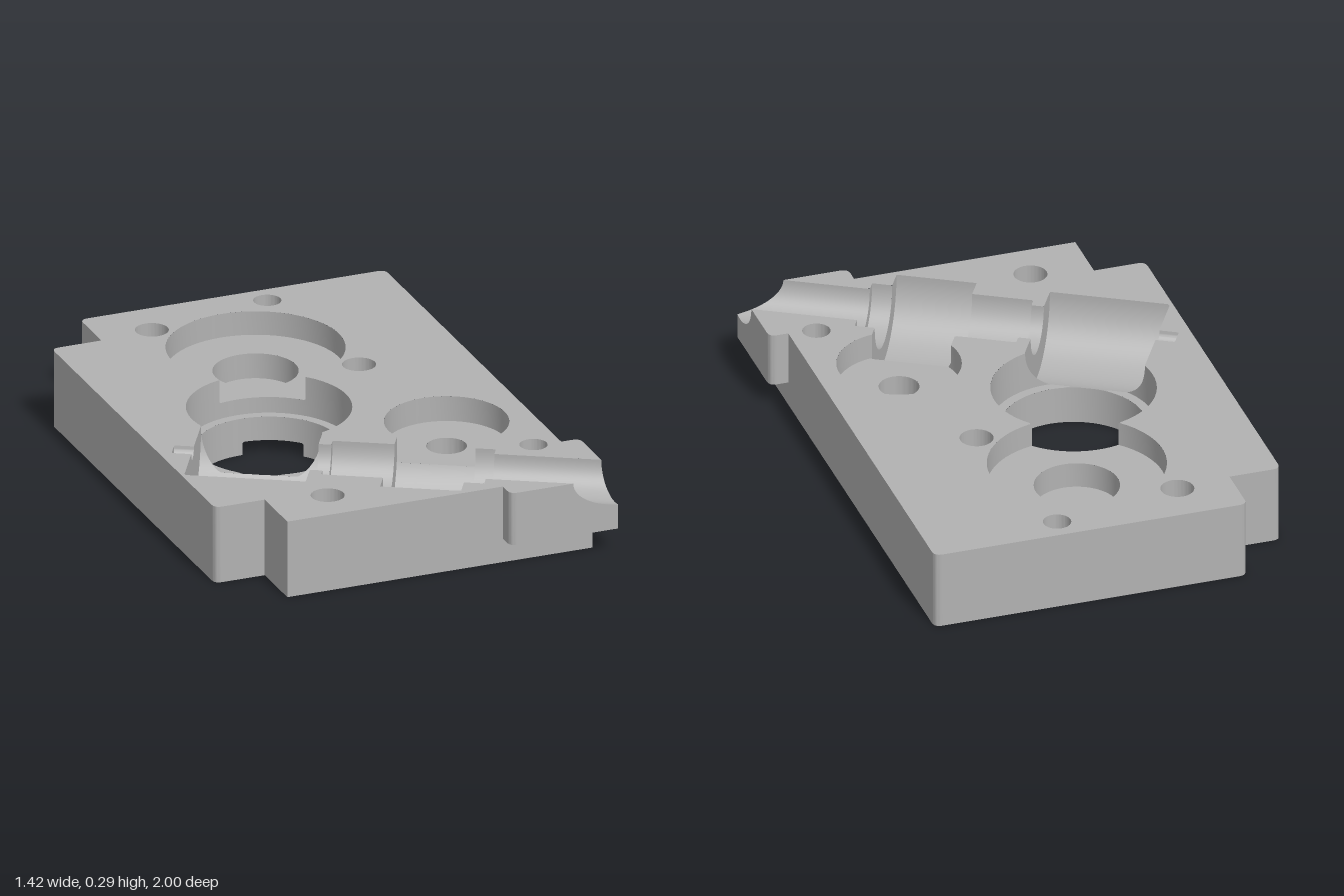
import * as THREE from 'three';
import { toCreasedNormals } from 'three/addons/utils/BufferGeometryUtils.js';

const TOP = 0.29;
const metal = new THREE.MeshStandardMaterial({ color: 0xb2b2b2 });
metal.name = 'plain grey metal';

// Keeps the part of a surface where f(point) > 0; f is a signed distance.
// Triangles are halved near the border, then cut along it.
function carve(source, f, flip = false) {
  const geo = source.index ? source.toNonIndexed() : source;
  const P = geo.attributes.position, N = geo.attributes.normal;
  const pos = [], nor = [];
  const vert = (p, n) => ({ p, n, d: f(p) });
  const mix = (a, b, t) => vert(a.p.clone().lerp(b.p, t), a.n.clone().lerp(b.n, t));
  const emit = (tri) => {
    for (const v of flip ? [tri[0], tri[2], tri[1]] : tri) {
      const n = v.n.clone().normalize().multiplyScalar(flip ? -1 : 1);
      pos.push(v.p.x, v.p.y, v.p.z);
      nor.push(n.x, n.y, n.z);
    }
  };
  const visit = (tri) => {
    let long = 0, k = 0;
    for (let i = 0; i < 3; i++) {
      const len = tri[i].p.distanceTo(tri[(i + 1) % 3].p);
      if (len > long) { long = len; k = i; }
    }
    if (tri.some((v) => v.d > long)) return emit(tri);
    if (tri.some((v) => v.d < -long)) return;
    if (long > 0.014) {
      const a = tri[k], b = tri[(k + 1) % 3], c = tri[(k + 2) % 3], m = mix(a, b, 0.5);
      visit([a, m, c]);
      visit([m, b, c]);
      return;
    }
    const poly = [];
    for (let i = 0; i < 3; i++) {
      const a = tri[i], b = tri[(i + 1) % 3];
      if (a.d >= 0) poly.push(a);
      if ((a.d >= 0) !== (b.d >= 0)) poly.push(mix(a, b, a.d / (a.d - b.d)));
    }
    for (let i = 2; i < poly.length; i++) emit([poly[0], poly[i - 1], poly[i]]);
  };
  for (let i = 0; i < P.count; i += 3) {
    visit([0, 1, 2].map((j) => vert(
      new THREE.Vector3().fromBufferAttribute(P, i + j),
      new THREE.Vector3().fromBufferAttribute(N, i + j))));
  }
  const out = new THREE.BufferGeometry();
  out.setAttribute('position', new THREE.Float32BufferAttribute(pos, 3));
  out.setAttribute('normal', new THREE.Float32BufferAttribute(nor, 3));
  return out;
}

// Upright prism from [x, z, cornerRadius] points
function prism(points, y0, y1) {
  const shape = new THREE.Shape();
  const pts = points.map(([x, z]) => new THREE.Vector2(x, -z));
  pts.forEach((p, i) => {
    const r = points[i][2] || 0;
    const toward = (q) => p.clone().add(q.clone().sub(p).setLength(r));
    const a = toward(pts[(i + pts.length - 1) % pts.length]);
    const b = toward(pts[(i + 1) % pts.length]);
    if (i === 0) shape.moveTo(a.x, a.y); else shape.lineTo(a.x, a.y);
    if (r) shape.quadraticCurveTo(p.x, p.y, b.x, b.y);
  });
  const geo = new THREE.ExtrudeGeometry(shape, { depth: y1 - y0, bevelEnabled: false, curveSegments: 8 });
  geo.rotateX(-Math.PI / 2).translate(0, y0, 0);
  return toCreasedNormals(geo, 0.6);
}

const box = (p, x0, x1, y0, y1, z0, z1) =>
  Math.max(x0 - p.x, p.x - x1, y0 - p.y, p.y - y1, z0 - p.z, p.z - z1);

// Inward-facing surface of revolution
const bore = (profile, segs, start, sweep) => toCreasedNormals(
  new THREE.LatheGeometry(profile.map(([r, y]) => new THREE.Vector2(r, y)), segs, start, sweep), 0.6);

// Upright round cavity; floor 0 means it goes right through
function roundCavity(name, x, z, r, floor) {
  const profile = [[r, TOP], [r, floor]];
  if (floor > 0) profile.push([0, floor]);
  return {
    name,
    geo: bore(profile, 64, 0, Math.PI * 2).translate(x, 0, z),
    dist: (p) => Math.max(Math.hypot(p.x - x, p.z - z) - r, floor > 0 ? floor - p.y : -1),
  };
}

// Half-round section of the slanted shaft channel, from t0 to t1 along its axis
const start = new THREE.Vector3(-0.59, TOP, 0.22);
const axis = new THREE.Vector3(Math.cos(Math.PI / 6), 0, Math.sin(Math.PI / 6));
const channelFrame = new THREE.Matrix4()
  .makeBasis(new THREE.Vector3(axis.z, 0, -axis.x), axis, new THREE.Vector3(0, -1, 0))
  .setPosition(start);
function channelCavity(name, t0, t1, r) {
  return {
    name,
    geo: bore([[0, t1], [r, t1], [r, t0], [0, t0]], 32, -Math.PI / 2, Math.PI).applyMatrix4(channelFrame),
    dist: (p) => {
      const x = p.x - start.x, z = p.z - start.z;
      const t = x * axis.x + z * axis.z;
      return Math.max(Math.hypot(z * axis.x - x * axis.z, p.y - TOP) - r, t0 - t, t - t1);
    },
  };
}

// Cross-shaped recess in the underside
function crossRecess(cx, cz, h, w, depth) {
  const quarter = [[w, -h], [w, -w], [h, -w]];
  const points = [];
  for (let i = 0; i < 4; i++) {
    for (const [a, b] of quarter) {
      const [x, z] = [[a, b], [-b, a], [-a, -b], [b, -a]][i];
      points.push([cx + x, cz + z]);
    }
  }
  return {
    name: 'crossRecess',
    flip: true,
    geo: prism(points, -0.1, depth),
    dist: (p) => Math.min(
      box(p, cx - h, cx + h, -1, depth, cz - w, cz + w),
      box(p, cx - w, cx + w, -1, depth, cz - h, cz + h)),
  };
}

export function createModel() {
  const model = new THREE.Group();
  model.name = 'gearboxHalf';
  const add = (name, geo) => {
    const mesh = new THREE.Mesh(geo, metal);
    mesh.name = name;
    model.add(mesh);
  };

  const cavities = [
    // Gear pockets with their bearing seats
    roundCavity('rearGearPocket', -0.04, -0.54, 0.317, 0.2),
    roundCavity('rearBearingSeat', -0.04, -0.54, 0.152, 0.105),
    roundCavity('middleGearPocket', -0.195, -0.035, 0.293, 0.14),
    roundCavity('middleThroughBore', -0.195, -0.035, 0.258, 0),
    roundCavity('frontGearPocket', 0.335, 0.32, 0.221, 0.195),
    roundCavity('frontBearingSeat', 0.335, 0.32, 0.072, 0.1),
    // Bolt holes and dowel holes
    roundCavity('rearBoltHole', -0.32, -0.82, 0.06, 0),
    roundCavity('middleBoltHole', 0.24, -0.262, 0.06, 0),
    roundCavity('frontBoltHole', -0.3, 0.767, 0.06, 0),
    roundCavity('rearDowelHole', 0.155, -0.908, 0.05, 0.19),
    roundCavity('frontDowelHole', 0.54, 0.627, 0.05, 0.19),
    // Shaft channel; the narrower sections reach slightly into the wider ones
    channelCavity('shaftTipChannel', -0.07, 0.01, 0.034),
    channelCavity('wormChannel', 0, 0.432, 0.22),
    channelCavity('neckChannel', 0.42, 0.49, 0.115),
    channelCavity('innerBearingChannel', 0.477, 0.71, 0.15),
    channelCavity('wheelChannel', 0.697, 0.985, 0.228),
    channelCavity('outerBearingChannel', 0.97, 1.057, 0.152),
    channelCavity('shaftExitChannel', 1.04, 1.8, 0.111),
    crossRecess(-0.025, -0.55, 0.35, 0.165, 0.05),
  ];
  const outside = (p, skip) => {
    let d = Infinity;
    for (const c of cavities) if (c !== skip) d = Math.min(d, c.dist(p));
    return d;
  };

  // Main plate
  const r = 0.03;
  const plate = prism([
    [-0.52, -1, r], [0.64, -1, r], [0.64, 0.93], [-0.52, 0.93],
    [-0.52, 0.72], [-0.71, 0.72, r], [-0.71, -0.8, r], [-0.52, -0.8],
  ], 0, TOP);
  add('plate', carve(plate, (p) => Math.min(outside(p), box(p, 0.3, 0.71, 0.09, 0.25, 0.64, 1))));

  // Raised lug where the shaft leaves the plate
  const lug = prism([[0.3, 0.64], [0.71, 0.64, r], [0.71, 1], [0.3, 1, r]], 0.09, TOP);
  add('shaftLug', carve(lug, (p) => Math.min(outside(p), Math.max(p.x - 0.64, p.z - 0.93))));

  // Cavity surfaces, trimmed by each other and by the plate's limits
  for (const c of cavities) {
    add(c.name, carve(c.geo, (p) => Math.min(
      outside(p, c), 0.71 - p.x, 1 - p.z, c.flip ? p.y : Infinity), c.flip));
  }
  return model;
}
